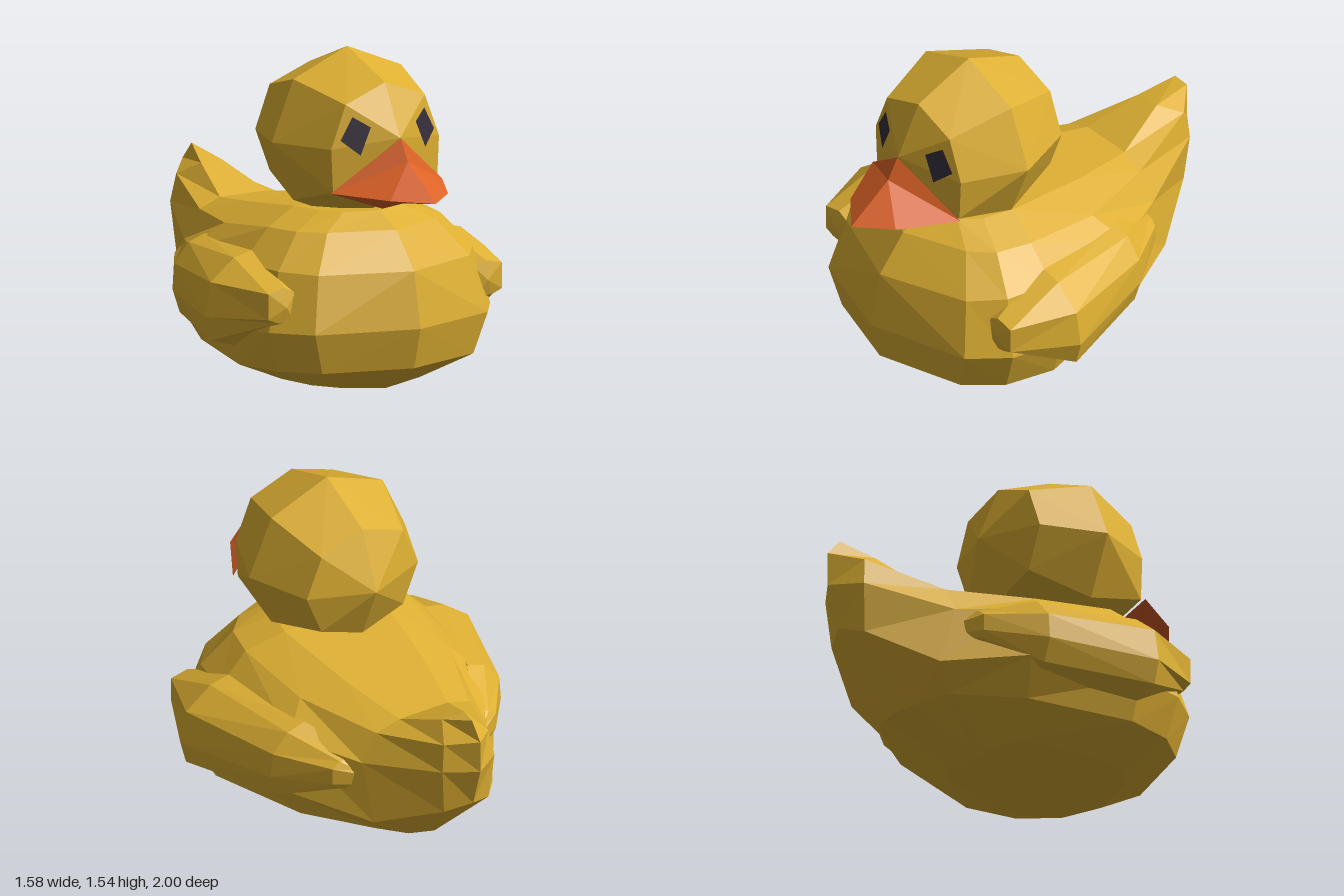
import * as THREE from 'three';
import { ConvexGeometry } from 'three/addons/geometries/ConvexGeometry.js';

const mirror = ([x, y, z]) => [-x, y, z];

// Mesh from a flat list of corner points, three per triangle
function triMesh(name, points, material) {
  const geo = new THREE.BufferGeometry();
  geo.setAttribute('position', new THREE.Float32BufferAttribute(points.flat(), 3));
  geo.computeVertexNormals();
  const mesh = new THREE.Mesh(geo, material);
  mesh.name = name;
  return mesh;
}

// Joins closed loops of points; flip(j) picks the diagonal of a quad
function loft(rows, flip) {
  const out = [];
  for (let i = 0; i < rows.length - 1; i++) {
    const n = rows[i].length;
    for (let j = 0; j < n; j++) {
      const k = (j + 1) % n;
      const a = rows[i][j], b = rows[i][k], c = rows[i + 1][k], d = rows[i + 1][j];
      if (flip(j)) out.push(a, b, c, a, c, d);
      else out.push(a, b, d, b, c, d);
    }
  }
  return out;
}

// Body: per level, the chest and tail points (y, z) and the flank between them
function bodyRings() {
  const chest = [[0, .6], [.13, .83], [.32, .88], [.58, .83], [.75, .69], [.82, .56]];
  const tail = [[0, -.16], [.12, -.61], [.45, -.94], [.65, -1], [.81, -1], [.89, -.93]];
  const flank = [
    [[.22, .02, .56], [.36, .035, .3], [.26, .04, -.1], [.12, .03, -.18]],
    [[.42, .13, .7], [.6, .13, .3], [.46, .15, -.2], [.25, .16, -.5]],
    [[.48, .32, .73], [.66, .32, .3], [.55, .32, -.25], [.32, .27, -.6]],
    [[.42, .58, .67], [.58, .6, .3], [.52, .58, -.2], [.33, .55, -.52]],
    [[.3, .75, .57], [.44, .75, .3], [.4, .7, -.1], [.25, .68, -.51]],
    [[.16, .82, .5], [.26, .82, .25], [.2, .76, -.2], [.13, .72, -.52]],
  ];
  const tailSide = [[.05, .01, -.17], [.12, .13, -.58], [.12, .41, -.88], [.14, .64, -.9], [.12, .77, -.88], [.06, .83, -.77]];
  const rings = flank.map(([breast, ...sides], i) => {
    // Shoulder: bulges out between breast and side
    const shoulder = breast.map((v, k) => (v + sides[0][k]) / 2 * (k === 1 ? 1 : 1.08));
    const half = [breast, shoulder, ...sides, tailSide[i]];
    return [[0, ...chest[i]], ...half, [0, ...tail[i]], ...half.map(mirror).reverse()];
  });
  // Belly and back close on the centre line
  const belly = rings[0].map(([, , z]) => [0, 0, z]);
  const back = rings[5].map(([, y, z]) => [0, y, z]);
  return [belly, ...rings, back];
}

// Wing: x,y sections from front to back, closed at both ends
function wingRings() {
  const sections = [
    [.6, [[.5, .5], [.56, .53], [.65, .51], [.65, .39], [.6, .37], [.5, .36]]],
    [.3, [[.5, .66], [.63, .63], [.76, .53], [.79, .37], [.76, .26], [.55, .2]]],
    [-.2, [[.44, .64], [.53, .61], [.61, .52], [.62, .4], [.58, .29], [.45, .26]]],
    [-.44, [[.3, .56], [.4, .54], [.44, .51], [.44, .43], [.42, .4], [.3, .36]]],
    [-.49, [[.28, .5], [.34, .5], [.36, .49], [.36, .43], [.34, .41], [.28, .4]]],
  ].map(([z, pts]) => pts.map(([x, y]) => [x, y, z]));
  const cap = (x, y, z) => Array(6).fill([x, y, z]);
  return [cap(.56, .44, .62), ...sections, cap(.32, .45, -.49)];
}

// Head: hull of a rounded cube with two facets along every side
function headGeometry() {
  const points = [];
  for (const x of [-1, 0, 1]) for (const y of [-1, 0, 1]) for (const z of [-1, 0, 1]) {
    const count = Math.abs(x) + Math.abs(y) + Math.abs(z);
    if (!count) continue;
    const cheek = y < 0 && z > 0;
    const size = [[.42, .4, .42], [.3, .28, .3], [cheek ? .29 : .22, .2, .3]][count - 1];
    const lift = count === 1 && z > 0 ? .04 : 0;
    points.push(new THREE.Vector3(x * size[0], 1.14 + lift + y * size[1], .3 + z * size[2]));
  }
  return new ConvexGeometry(points);
}

export function createModel() {
  const yellow = new THREE.MeshStandardMaterial({ color: 0xddaf32, flatShading: true });
  yellow.name = 'duck yellow';
  const orange = new THREE.MeshStandardMaterial({ color: 0xdc6226, flatShading: true });
  orange.name = 'beak orange';
  const dark = new THREE.MeshStandardMaterial({ color: 0x352e3a, side: THREE.DoubleSide });
  dark.name = 'eye dark';
  const duck = new THREE.Group();
  duck.name = 'duck';

  duck.add(triMesh('body', loft(bodyRings(), j => j >= 7), yellow));

  const wing = wingRings();
  duck.add(triMesh('leftWing', loft(wing, () => false), yellow));
  duck.add(triMesh('rightWing', loft(wing.map(r => r.map(mirror)).reverse(), () => true), yellow));

  const head = new THREE.Mesh(headGeometry(), yellow);
  head.name = 'head';
  duck.add(head);

  // Beak: one half, then its mirror with reversed corners
  const brow = [0, 1.18, .725], ridge = [0, 1.08, .78], corner = [.31, .94, .61];
  const lip = [.16, .93, .87], tip = [0, .92, 1], chin = [0, .88, .74], throat = [0, .83, .58];
  const half = [
    brow, ridge, corner, ridge, lip, corner, ridge, tip, lip,
    corner, lip, chin, lip, tip, chin, corner, chin, throat,
  ];
  duck.add(triMesh('beak', [...half, ...half.map(mirror).reverse()], orange));

  // Eyes: slanted plates lying on the face
  const eye = [[.2, 1.285], [.125, 1.235], [.18, 1.11], [.26, 1.18]]
    .map(([x, y]) => [x, y, .727 - .4225 * x - .169 * (y - 1.18)]);
  const eyeTris = [0, 1, 2, 0, 2, 3].map(i => eye[i]);
  duck.add(triMesh('leftEye', eyeTris, dark));
  duck.add(triMesh('rightEye', eyeTris.map(mirror).reverse(), dark));

  return duck;
}
